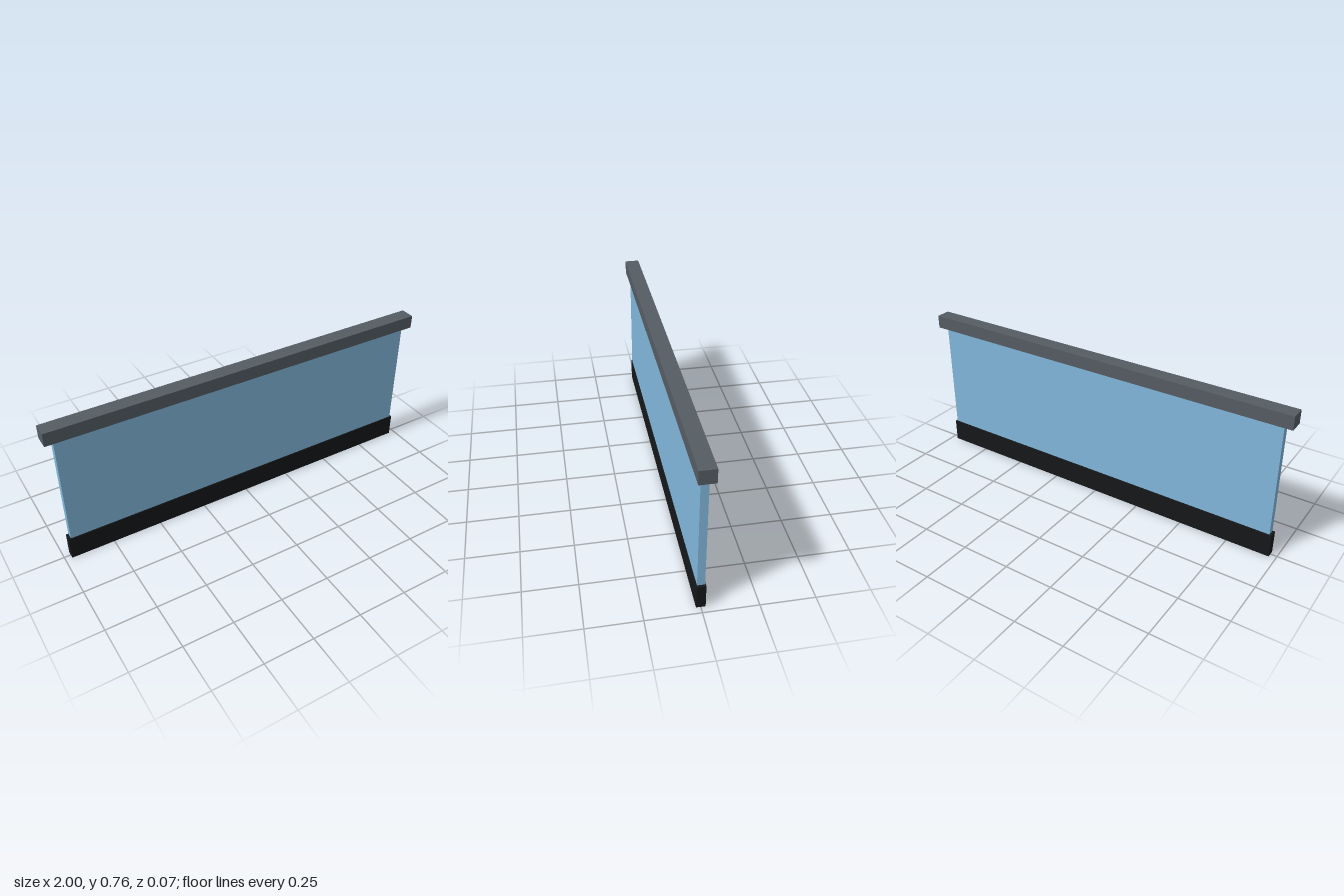
import * as THREE from 'three';

// Box spanning y0..y1, centred on x and z
function slab(name, color, width, y0, y1, depth) {
  const mesh = new THREE.Mesh(
    new THREE.BoxGeometry(width, y1 - y0, depth),
    new THREE.MeshStandardMaterial({ color })
  );
  mesh.name = name;
  mesh.position.y = (y0 + y1) / 2;
  return mesh;
}

export function createModel() {
  const model = new THREE.Group();
  model.name = 'glassBalustrade';
  model.add(
    slab('baseChannel', 0x15171a, 1.934, 0, 0.118, 0.042),
    slab('glassPane', 0x82b8dc, 1.912, 0.12, 0.683, 0.035),
    // The rail floats just above the pane
    slab('topRail', 0x555d64, 2, 0.693, 0.76, 0.074)
  );
  return model;
}
